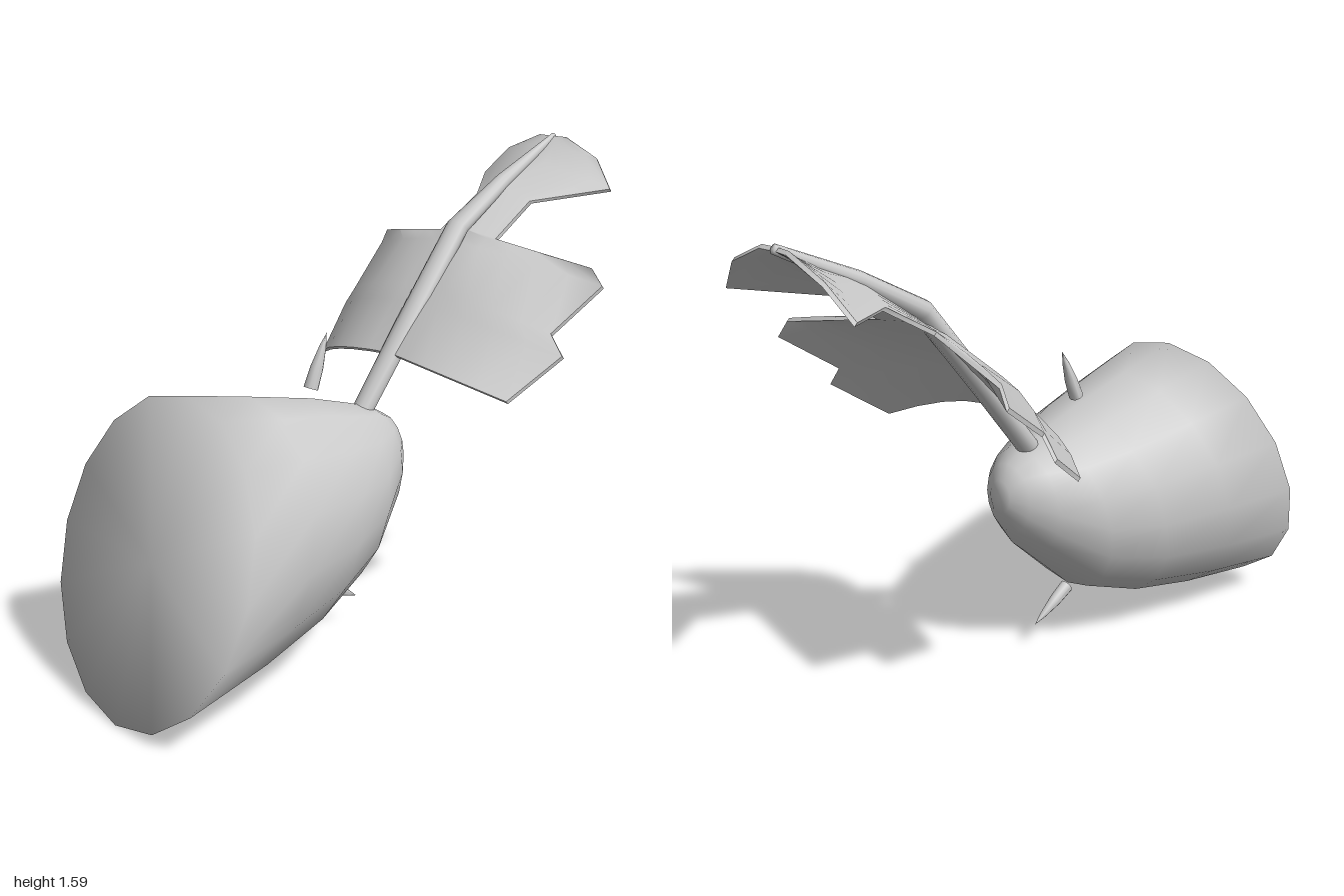
import * as THREE from 'three';
import { toCreasedNormals } from 'three/addons/utils/BufferGeometryUtils.js';

const material = new THREE.MeshStandardMaterial({ color: 0xcccccc });

// Skin a list of closed rings of [x, y, z]; capped ends are fans around the ring centre
function loft(rings, capped) {
  const n = rings[0].length;
  const points = rings.flat();
  const index = [];
  for (let i = 0; i < rings.length - 1; i++) {
    for (let j = 0; j < n; j++) {
      const a = i * n + j, b = i * n + (j + 1) % n;
      index.push(a, b, a + n, b, b + n, a + n);
    }
  }
  if (capped) {
    [0, rings.length - 1].forEach((r, end) => {
      const c = points.length;
      points.push([0, 1, 2].map(k => rings[r].reduce((s, p) => s + p[k], 0) / n));
      for (let j = 0; j < n; j++) {
        const a = r * n + j, b = r * n + (j + 1) % n;
        index.push(c, ...(end ? [a, b] : [b, a]));
      }
    });
  }
  const g = new THREE.BufferGeometry();
  g.setAttribute('position', new THREE.Float32BufferAttribute(points.flat(), 3));
  g.setIndex(index);
  g.computeVertexNormals();
  return g;
}

// Elliptical ring between a top and a bottom point of the centre plane
function ellipse([tz, ty, bz, by, w], sides) {
  return Array.from({ length: sides }, (_, j) => {
    const a = j / sides * Math.PI * 2, c = Math.cos(a);
    return [w * Math.sin(a), (ty + by) / 2 + c * (ty - by) / 2, (tz + bz) / 2 + c * (tz - bz) / 2];
  });
}

export function createModel() {
  const model = new THREE.Group();
  const add = (name, geometry) => {
    const mesh = new THREE.Mesh(geometry, material);
    mesh.name = name;
    model.add(mesh);
    return mesh;
  };

  // Rounded body with a slanted flat front: top z, y, bottom z, y, half width
  add('body', loft([
    [0.69, 0.965, 1.0, 0.0, 0.45],
    [0.45, 0.91, 0.67, 0.05, 0.395],
    [0.2, 0.85, 0.4, 0.11, 0.33],
    [0.04, 0.80, 0.17, 0.2, 0.255],
    [-0.06, 0.765, -0.04, 0.39, 0.165],
    [-0.12, 0.73, -0.12, 0.49, 0.1],
    [-0.155, 0.68, -0.16, 0.57, 0.045],
  ].map(r => ellipse(r, 16)), true));

  // Tail stem, bent and tapering to the tip
  add('tailStem', loft([
    [0.01, 0.775, -0.05, 0.735, 0.035],
    [-0.2, 1.035, -0.25, 0.99, 0.042],
    [-0.45, 1.34, -0.495, 1.29, 0.042],
    [-0.69, 1.47, -0.71, 1.42, 0.03],
    [-0.97, 1.59, -0.985, 1.565, 0.01],
  ].map(r => ellipse(r, 12)), true));

  // Wing and fin sheet: centre z, y, then edge x, y, z, then upward bow
  const rows = [
    [-0.15, 0.93, 0.43, 0.835, -0.25, 0.05],
    [-0.28, 1.08, 0.505, 0.965, -0.43, 0.05],
    [-0.33, 1.13, 0.455, 1.03, -0.43, 0.045],
    [-0.46, 1.265, 0.508, 1.165, -0.62, 0.03],
    [-0.505, 1.29, 0.47, 1.22, -0.61, 0.01],
    [-0.51, 1.3, 0.125, 1.278, -0.53, 0],
    [-0.69, 1.435, 0.12, 1.385, -0.71, 0],
    [-0.85, 1.505, 0.285, 1.42, -0.94, 0.02],
    [-0.93, 1.55, 0.2, 1.515, -0.97, 0.01],
    [-0.97, 1.575, 0.06, 1.575, -0.975, 0],
  ];
  const half = 5;
  const sheetRing = ([cz, cy, ex, ey, ez, bow], thick) => {
    const side = s => Array.from({ length: 2 * half + 1 }, (_, k) => {
      const u = k / half - 1, t = Math.abs(u), b = bow * 4 * t * (1 - t);
      return [ex * u, cy + (ey - cy) * t + b * 0.5 + s * 0.7, cz + (ez - cz) * t + b + s * 0.7];
    });
    return [...side(thick), ...side(-thick).reverse()];
  };
  const sheet = rows.map(r => sheetRing(r, 0.007));
  sheet.unshift(sheetRing(rows[0], 0));
  sheet.push(sheetRing(rows[rows.length - 1], 0));
  add('wingsAndTailFin', toCreasedNormals(loft(sheet, false), 0.8));

  // Small loose spikes above and below the body
  const profile = [[0, 0], [0.024, 0], [0.021, 0.07], [0.011, 0.14], [0, 0.185]]
    .map(p => new THREE.Vector2(...p));
  for (const [name, base, tip] of [
    ['upperSpike', [0, 0.883, 0.203], [0, 1.06, 0.13]],
    ['lowerSpike', [0, 0.19, 0.165], [0, 0.1, 0.01]],
  ]) {
    const spike = add(name, toCreasedNormals(new THREE.LatheGeometry(profile, 10), 0.9));
    spike.position.set(...base);
    const dir = new THREE.Vector3(...tip).sub(spike.position).normalize();
    spike.quaternion.setFromUnitVectors(new THREE.Vector3(0, 1, 0), dir);
  }
  return model;
}
